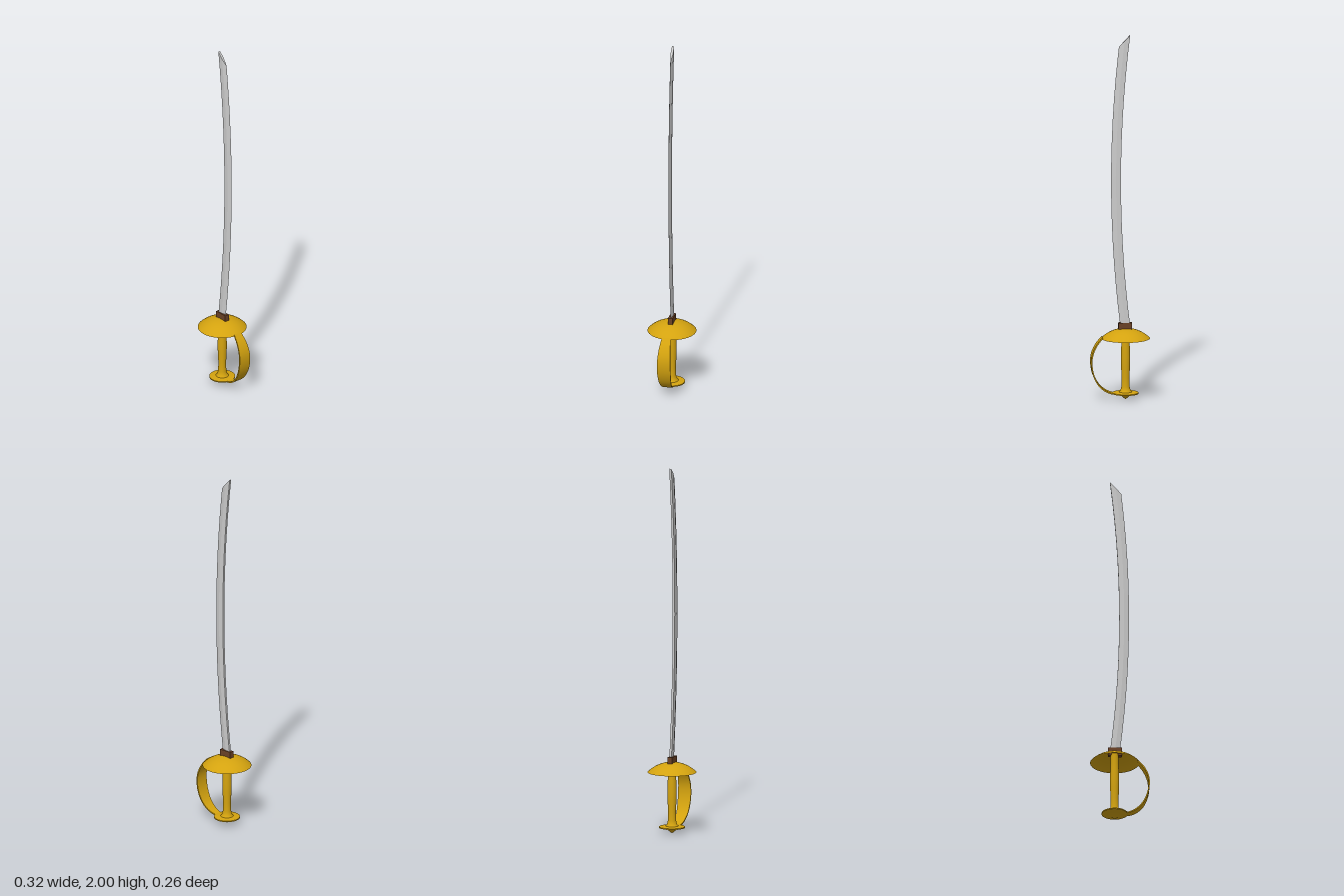
import * as THREE from 'three';
import { toCreasedNormals } from 'three/addons/utils/BufferGeometryUtils.js';

const AXIS_X = -0.03; // centre line of the hilt

const material = (color) => new THREE.MeshStandardMaterial({ color, side: THREE.DoubleSide });

// Closed solid through rings of equal point count, each counter-clockwise seen from the far end
function loft(rings, crease) {
  const n = rings[0].length;
  const index = [];
  for (let i = 0; i < rings.length - 1; i++) {
    for (let j = 0; j < n; j++) {
      const k = (j + 1) % n;
      const a = i * n + j, b = i * n + k, c = b + n, d = a + n;
      index.push(a, b, c, a, c, d);
    }
  }
  const last = (rings.length - 1) * n;
  for (let j = 1; j < n - 1; j++) {
    index.push(0, j + 1, j, last, last + j, last + j + 1);
  }
  const geometry = new THREE.BufferGeometry();
  geometry.setAttribute('position', new THREE.Float32BufferAttribute(rings.flat(2), 3));
  geometry.setIndex(index);
  return toCreasedNormals(geometry, crease);
}

// Curved blade: flat spine on -x, sharp edge on +x, slanted tip
function bladeGeometry() {
  const section = [[1, 0], [0.5, -0.007], [0, -0.006], [0, 0.006], [0.5, 0.007]];
  const rings = [];
  const steps = 14;
  for (let i = 0; i <= steps; i++) {
    const y = 0.39 + (2 - 0.39) * i / steps;
    rings.push(section.map(([u, z]) => {
      const py = i === steps ? y - 0.065 * u : y;
      const spine = -0.005 - 0.05 * ((py - 1.2) / 0.8) ** 2;
      return [spine + 0.053 * u, py, z];
    }));
  }
  return loft(rings, 0.1);
}

// Knuckle bow: thin strap, widest in the middle
function bowGeometry() {
  const path = new THREE.CatmullRomCurve3([
    [0.095, 0.342], [0.128, 0.3], [0.15, 0.25], [0.155, 0.2], [0.145, 0.14],
    [0.118, 0.085], [0.08, 0.05], [0.04, 0.034], [0.01, 0.033],
  ].map(([x, y]) => new THREE.Vector3(x, y, 0)));
  const rings = [];
  const steps = 32;
  for (let i = 0; i <= steps; i++) {
    const t = i / steps;
    const p = path.getPointAt(t);
    const d = path.getTangentAt(t);
    const half = 0.018 + 0.019 * Math.sin(Math.PI * Math.min(1, t * 0.9 + 0.1));
    rings.push([[1, -1], [1, 1], [-1, 1], [-1, -1]].map(([s, w]) =>
      [p.x - d.y * s * 0.0035, p.y + d.x * s * 0.0035, w * half]));
  }
  return loft(rings, 0.6);
}

// Hollow dome guard: a spherical cap
function guardGeometry() {
  const r = 0.132, h = 0.054;
  const R = (r * r + h * h) / (2 * h);
  const maxAngle = Math.asin(r / R);
  const points = [];
  for (let i = 0; i <= 12; i++) {
    const a = maxAngle * (1 - i / 12);
    points.push(new THREE.Vector2(R * Math.sin(a), 0.389 - R + R * Math.cos(a)));
  }
  return new THREE.LatheGeometry(points, 40);
}

function turned(profile) {
  return new THREE.LatheGeometry(profile.map(([r, y]) => new THREE.Vector2(r, y)), 32);
}

export function createModel() {
  const model = new THREE.Group();
  model.name = 'sabre';
  const steel = material(0xcccccc);
  const gold = material(0xd4a30f);
  const brown = material(0x6b4226);

  const add = (name, geometry, mat, x = 0, y = 0) => {
    const mesh = new THREE.Mesh(geometry, mat);
    mesh.name = name;
    mesh.position.set(x, y, 0);
    model.add(mesh);
  };

  add('blade', bladeGeometry(), steel);
  add('collar', new THREE.BoxGeometry(0.074, 0.045, 0.026), brown, -0.028, 0.398);
  add('guard', guardGeometry(), gold, AXIS_X);
  add('knuckleBow', bowGeometry(), gold);

  // Turned grip with a slight swell
  add('grip', turned([
    [0.036, 0.04], [0.027, 0.05], [0.022, 0.07], [0.021, 0.12], [0.024, 0.18],
    [0.025, 0.23], [0.023, 0.29], [0.021, 0.33], [0.022, 0.385],
  ]), gold, AXIS_X);

  // Disc pommel with a pointed underside
  add('pommel', toCreasedNormals(turned([
    [0, 0], [0.022, 0.018], [0.045, 0.026], [0.07, 0.031], [0.07, 0.037], [0.036, 0.041], [0, 0.042],
  ]), 0.6), gold, AXIS_X);

  return model;
}
